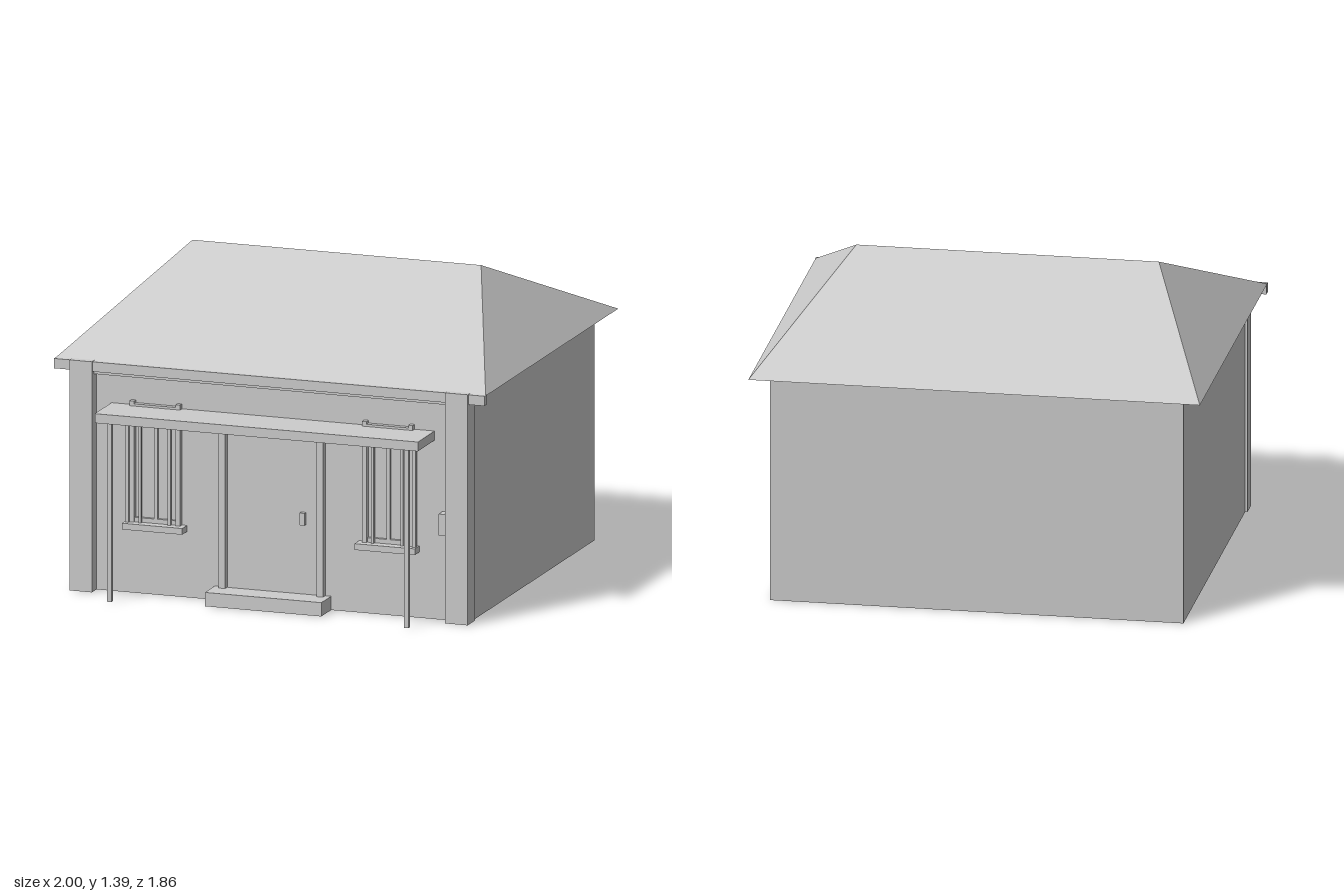
import * as THREE from 'three';

export function createModel() {
  const house = new THREE.Group();
  house.name = 'house';
  const plaster = new THREE.MeshStandardMaterial({ color: 0xcccccc });
  plaster.name = 'light grey';

  // box given by its x, y and z limits
  function box(name, x0, x1, y0, y1, z0, z1, parent = house) {
    const mesh = new THREE.Mesh(new THREE.BoxGeometry(x1 - x0, y1 - y0, z1 - z0), plaster);
    mesh.position.set((x0 + x1) / 2, (y0 + y1) / 2, (z0 + z1) / 2);
    mesh.name = name;
    parent.add(mesh);
    return mesh;
  }

  const WALL = 0.72; // front wall plane

  // main body
  box('walls', -0.915, 0.915, 0, 1.03, -0.86, WALL - 0.03);
  box('frontWall', -0.83, 0.83, 0, 1.03, WALL - 0.05, WALL);

  // hipped roof: eave rectangle and ridge
  const eave = [[-1, 1.032, 0.755], [1, 1.032, 0.755], [1, 1.032, -0.93], [-1, 1.032, -0.93]];
  const ridge = [[-0.67, 1.395, -0.09], [0.67, 1.395, -0.09]];
  const corners = [...eave, ...ridge];
  const faces = [0, 1, 5, 0, 5, 4, 1, 2, 5, 2, 3, 4, 2, 4, 5, 3, 0, 4, 0, 3, 2, 0, 2, 1];
  const roofGeometry = new THREE.BufferGeometry();
  roofGeometry.setAttribute('position',
    new THREE.Float32BufferAttribute(faces.flatMap((i) => corners[i]), 3));
  roofGeometry.computeVertexNormals();
  const roof = new THREE.Mesh(roofGeometry, plaster);
  roof.name = 'roof';
  house.add(roof);

  // eave board and the beam beneath it
  box('eaveBoard', -1, 1, 0.99, 1.034, 0.735, 0.77);
  box('frontBeam', -0.82, 0.82, 0.975, 1.03, WALL - 0.02, 0.75);

  // corner pilasters and canopy posts
  for (const s of [-1, 1]) {
    const pilaster = box('pilaster', -0.0525, 0.0525, 0, 1.036, 0.685, 0.778);
    pilaster.position.x = s * 0.8725;
    const post = box('canopyPost', -0.01, 0.01, 0, 0.81, 0.895, 0.915);
    post.position.x = s * 0.69;
  }
  box('letterBox', 0.787, 0.825, 0.39, 0.487, WALL, 0.77);

  // canopy
  box('canopy', -0.75, 0.75, 0.803, 0.845, WALL - 0.01, 0.933);

  // doorway
  const doorway = new THREE.Group();
  doorway.name = 'doorway';
  house.add(doorway);
  box('step', -0.27, 0.27, 0, 0.062, WALL - 0.01, 0.845, doorway);
  box('door', -0.21, 0.21, 0.06, 0.78, WALL - 0.01, WALL + 0.005, doorway);
  box('doorJamb', -0.243, -0.212, 0.06, 0.79, WALL - 0.01, 0.75, doorway);
  box('doorJamb', 0.212, 0.243, 0.06, 0.79, WALL - 0.01, 0.75, doorway);
  box('doorHead', -0.212, 0.212, 0.78, 0.803, WALL - 0.01, 0.735, doorway);
  box('doorHandle', 0.132, 0.155, 0.375, 0.43, WALL, 0.745, doorway);

  // barred windows
  for (const s of [-1, 1]) {
    const win = new THREE.Group();
    win.name = 'window';
    win.position.x = s * 0.54;
    house.add(win);
    box('sill', -0.14, 0.14, 0.295, 0.323, WALL - 0.01, 0.78, win);
    box('bottomRail', -0.115, 0.115, 0.323, 0.343, WALL - 0.01, 0.735, win);
    box('topRail', -0.115, 0.115, 0.835, 0.855, WALL - 0.01, 0.745, win);
    for (const x of [-0.107, 0.107]) {
      box('frameSide', x - 0.01, x + 0.01, 0.323, 0.867, WALL - 0.01, 0.745, win);
    }
    box('mullion', -0.008, 0.008, 0.343, 0.835, WALL - 0.01, 0.735, win);
    for (const x of [-0.068, 0.068]) {
      box('bar', x - 0.006, x + 0.006, 0.323, 0.835, 0.735, 0.75, win);
    }
    const outer = box('outerBar', -0.008, 0.008, 0.323, 0.803, 0.735, 0.755, win);
    outer.position.x = s * 0.127;
  }

  return house;
}
